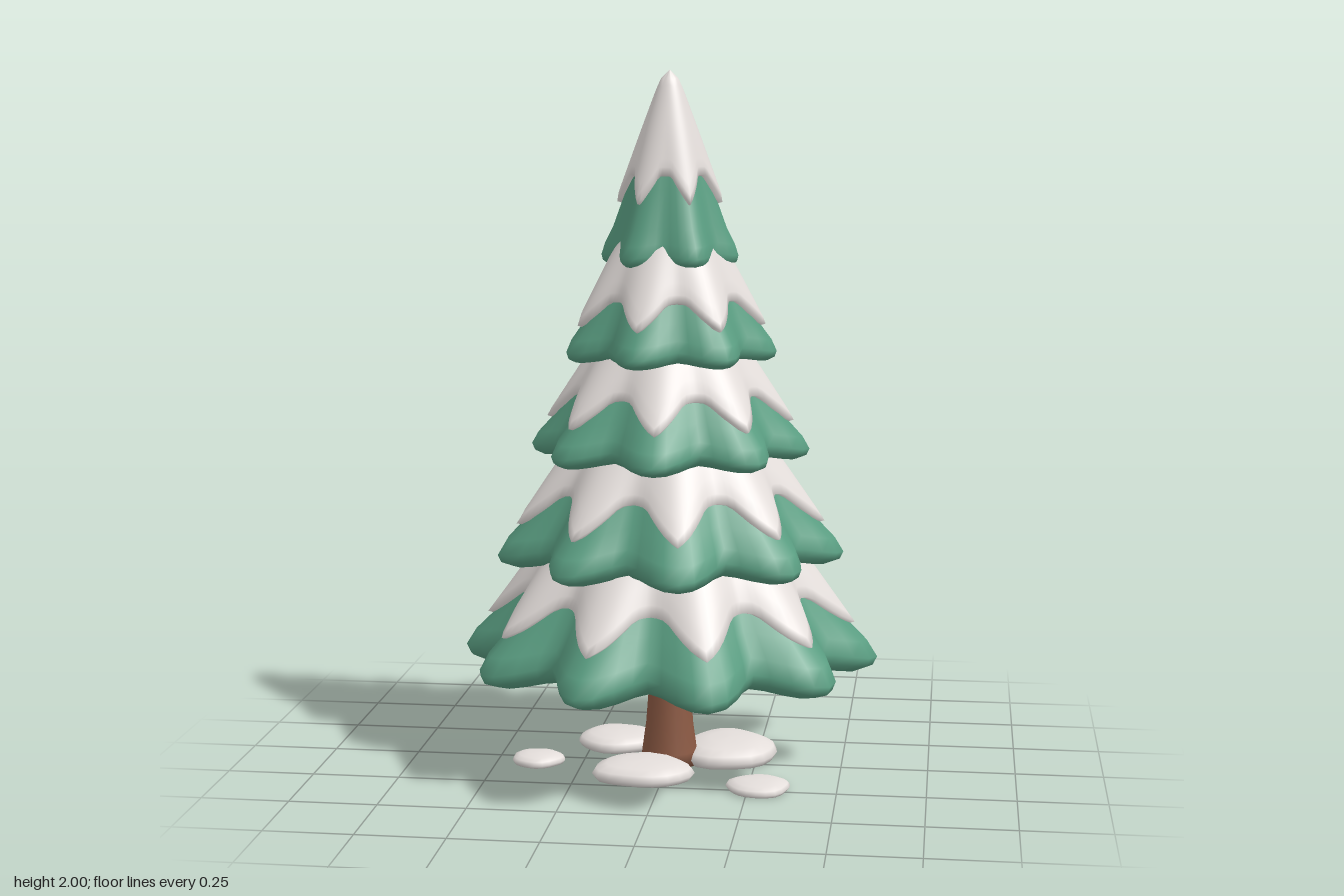
import * as THREE from 'three';

const mat = (name, color) => {
  const m = new THREE.MeshStandardMaterial({ color });
  m.name = name;
  return m;
};

// Closed-ring loft: point(row, angle) returns [x, y, z]; rows run from below to the top.
function loft(rows, cols, point) {
  const pos = [], idx = [];
  for (let i = 0; i < rows; i++)
    for (let j = 0; j < cols; j++) pos.push(...point(i, (j / cols) * Math.PI * 2));
  for (let i = 0; i < rows - 1; i++)
    for (let j = 0; j < cols; j++) {
      const k = (j + 1) % cols;
      const a = i * cols + j, b = i * cols + k, c = a + cols, d = b + cols;
      idx.push(a, c, b, b, c, d);
    }
  const g = new THREE.BufferGeometry();
  g.setAttribute('position', new THREE.Float32BufferAttribute(pos, 3));
  g.setIndex(idx);
  g.computeVertexNormals();
  return g;
}

// Branch tier section as fractions of radius and height: underside, then rim to tip.
const UNDER = [[0.11, 0.205], [0.45, 0.13], [0.8, 0.035], [0.91, -0.006]];
const OUTER = [[0.98, 0.012], [1, 0.042], [0.95, 0.1], [0.83, 0.185], [0.63, 0.385], [0.35, 0.66], [0.12, 0.88], [0, 0.975]];

function heightAt(u) {
  for (let i = 1; i < OUTER.length - 1; i++) {
    const [u0, v0] = OUTER[i], [u1, v1] = OUTER[i + 1];
    if (u >= u1) return v0 + ((v1 - v0) * (u0 - u)) / (u0 - u1);
  }
  return 0.975;
}

// Lobes, radius, base height, tip height, snow reach on lobes and between them
const TIERS = [
  [10, 0.6, 0.3, 1.13, 0.865, 0.765],
  [9, 0.5, 0.61, 1.32, 0.86, 0.74],
  [8, 0.4, 0.91, 1.52, 0.85, 0.73],
  [7, 0.305, 1.19, 1.76, 0.85, 0.73],
  [6, 0.195, 1.46, 2.0, 0.7, 0.56],
];

// Ground snow patches: x, z, radius x, radius z, height
const PATCHES = [
  [-0.058, 0.15, 0.145, 0.12, 0.05],
  [0.165, -0.075, 0.14, 0.155, 0.058],
  [-0.17, -0.155, 0.125, 0.11, 0.045],
  [-0.38, 0.055, 0.077, 0.07, 0.03],
  [0.28, 0.235, 0.09, 0.085, 0.03],
];

export function createModel() {
  const green = mat('needle green', 0x5a9e82);
  const white = mat('snow white', 0xe4dedb);
  const brown = mat('bark brown', 0x8c5a44);

  const tree = new THREE.Group();
  tree.name = 'snowyTree';
  const add = (name, geometry, material) => {
    const m = new THREE.Mesh(geometry, material);
    m.name = name;
    tree.add(m);
    return m;
  };

  // Trunk flaring at the foot
  const trunk = [[0, 0], [0.085, 0], [0.08, 0.04], [0.069, 0.12], [0.06, 0.24], [0.052, 0.38], [0.045, 0.6]];
  add('trunk', new THREE.LatheGeometry(trunk.map(p => new THREE.Vector2(...p)), 16), brown);

  TIERS.forEach(([n, R, base, tip, reachLobe, reachGap], t) => {
    const H = tip - base;
    const lobeAt = a => Math.pow(0.5 + 0.5 * Math.cos(n * a), 0.85);
    // Point on the tier skin, pushed outward by off
    const skin = (u, v, a, off = 0) => {
      const gap = 1 - lobeAt(a);
      const r = Math.max(0, R * u * (1 - 0.21 * gap * Math.pow(u, 1.5)) + off * 0.85);
      const y = base + H * v + 0.06 * R * gap * u * u + off * 0.5;
      return [r * Math.cos(a), y, r * Math.sin(a)];
    };

    // Lobed green branches
    const section = [...UNDER, ...OUTER];
    add('branchTier' + (t + 1), loft(section.length, n * 8, (i, a) => skin(...section[i], a)), green);

    // Snow cap: pointed drips over the lobes, flat edge between them
    const steps = 12;
    add('snowCap' + (t + 1), loft(steps + 3, n * 16, (i, a) => {
      const fromLobe = Math.acos(Math.cos(n * a)) / Math.PI;
      const drip = Math.max(0, 1 - fromLobe / 0.68);
      const end = reachGap + (reachLobe - reachGap) * drip;
      if (i === 0) return skin(end, heightAt(end), a, -0.006);
      if (i === 1) return skin(end + 0.008, heightAt(end + 0.008), a, 0.013);
      const k = (i - 2) / steps;
      if (k === 1) return [0, tip, 0];
      const u = (end - 0.03) * (1 - k);
      return skin(u, heightAt(u), a, 0.018);
    }), white);
  });

  // Flat-bottomed snow patches around the foot
  const dome = [[0, 0], [0.93, 0], [1, 0.3], [0.93, 0.62], [0.72, 0.87], [0.4, 0.98], [0, 1]];
  PATCHES.forEach(([x, z, rx, rz, h], p) => {
    const g = loft(dome.length, 20, (i, a) => {
      const r = dome[i][0] * (1 + 0.04 * Math.sin(3 * a + p) + 0.025 * Math.cos(5 * a + p * 2));
      return [r * rx * Math.cos(a), dome[i][1] * h, r * rz * Math.sin(a)];
    });
    add('snowPatch' + (p + 1), g, white).position.set(x, 0, z);
  });

  return tree;
}
